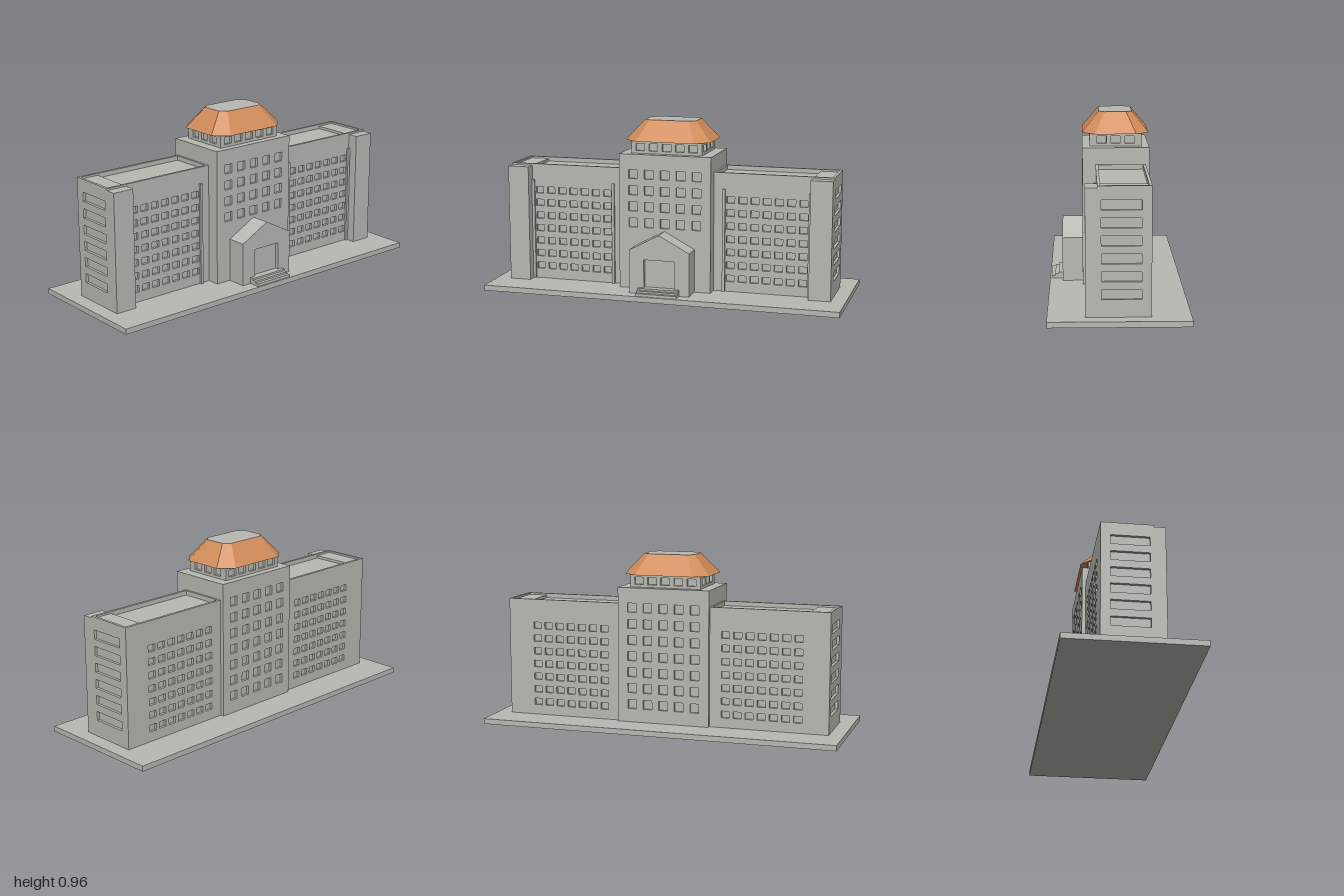
import * as THREE from 'three';

const BASE = 0.03; // height of the ground slab
const T = 0.015;   // depth of the window recesses

export function createModel() {
  const stone = new THREE.MeshStandardMaterial({ color: 0xb8b9b2 });
  stone.name = 'grey stone';
  const tile = new THREE.MeshStandardMaterial({ color: 0xd18c5a, side: THREE.DoubleSide });
  tile.name = 'orange roof tile';

  const model = new THREE.Group();
  model.name = 'building';

  const add = (parent, name, geometry, material = stone) => {
    const mesh = new THREE.Mesh(geometry, material);
    mesh.name = name;
    parent.add(mesh);
    return mesh;
  };

  // box given by its limits on each axis
  const box = (parent, name, [x0, x1], [y0, y1], [z0, z1]) => {
    const mesh = add(parent, name, new THREE.BoxGeometry(Math.abs(x1 - x0), y1 - y0, z1 - z0));
    mesh.position.set((x0 + x1) / 2, (y0 + y1) / 2, (z0 + z1) / 2);
    return mesh;
  };

  const rectHole = (shape, x, y, w, h) => {
    const hole = new THREE.Path();
    hole.moveTo(x - w / 2, y);
    hole.lineTo(x - w / 2, y + h);
    hole.lineTo(x + w / 2, y + h);
    hole.lineTo(x + w / 2, y);
    hole.closePath();
    shape.holes.push(hole);
  };

  const extrude = (shape, depth) => new THREE.ExtrudeGeometry(shape, { depth, bevelEnabled: false });

  // facade with a grid of window openings; its outer face lies on local z = 0
  const facade = (parent, name, width, y0, y1, grid) => {
    const shape = new THREE.Shape();
    shape.moveTo(-width / 2, y0);
    shape.lineTo(width / 2, y0);
    shape.lineTo(width / 2, y1);
    shape.lineTo(-width / 2, y1);
    shape.closePath();
    for (let r = 0; r < grid.rows; r++) {
      for (let c = 0; c < grid.cols; c++) {
        const x = (grid.x || 0) + (c - (grid.cols - 1) / 2) * (grid.dx || 0);
        rectHole(shape, x, grid.y + r * (grid.dy || 0), grid.w, grid.h);
      }
    }
    return add(parent, name, extrude(shape, T).translate(0, 0, -T));
  };

  // ground slab
  box(model, 'groundSlab', [-1, 1], [0, BASE], [-0.36, 0.36]);

  // two side wings
  for (const s of [1, -1]) {
    const wing = new THREE.Group();
    wing.name = s > 0 ? 'leftWing' : 'rightWing';
    model.add(wing);
    const sx = (a, b) => (s > 0 ? [a, b] : [-b, -a]);

    box(wing, 'wingCore', sx(0.26, 0.905), [BASE, 0.665], [-0.145, 0.095]);
    box(wing, 'endRoof', sx(0.8, 0.905), [0.665, 0.68], [-0.145, 0.095]);
    box(wing, 'innerParapet', sx(0.26, 0.272), [0.665, 0.69], [-0.145, 0.095]);

    const grid = { cols: 7, rows: 7, dx: 0.067, dy: 0.073, y: 0.085, w: 0.045, h: 0.037 };
    const front = facade(wing, 'wingFront', 0.66, BASE, 0.69, { ...grid, x: -s * 0.035 });
    front.position.set(s * 0.59, 0, 0.11);
    const back = facade(wing, 'wingBack', 0.66, BASE, 0.69, { ...grid, x: s * 0.04 });
    back.rotation.y = Math.PI;
    back.position.set(s * 0.59, 0, -0.16);

    // end wall with long strip windows
    const end = facade(wing, 'wingEnd', 0.24, BASE, 0.69,
      { cols: 1, rows: 6, x: -s * 0.015, y: 0.12, dy: 0.09, w: 0.2, h: 0.05 });
    end.rotation.y = s * Math.PI / 2;
    end.position.set(s * 0.92, 0, -0.025);

    // corner pier and thin pilasters
    box(wing, 'cornerPier', sx(0.8, 0.92), [BASE, 0.68], [0.11, 0.17]);
    for (const x of [0.31, 0.785]) {
      box(wing, 'pilaster', sx(x, x + 0.015), [BASE, 0.6], [0.11, 0.122]);
    }
  }

  // central tower
  const tower = new THREE.Group();
  tower.name = 'centralTower';
  model.add(tower);
  box(tower, 'towerCore', [-0.26, 0.26], [BASE, 0.78], [-0.165, 0.165]);
  const towerGrid = { cols: 5, dx: 0.09, dy: 0.09, w: 0.05, h: 0.05 };
  facade(tower, 'towerFront', 0.52, BASE, 0.78, { ...towerGrid, rows: 4, y: 0.375 }).position.z = 0.18;
  const towerBack = facade(tower, 'towerBack', 0.52, BASE, 0.78, { ...towerGrid, rows: 7, y: 0.105 });
  towerBack.rotation.y = Math.PI;
  towerBack.position.z = -0.18;

  // lantern storey with windows on all sides
  box(tower, 'lanternCore', [-0.185, 0.185], [0.78, 0.85], [-0.125, 0.125]);
  for (let i = 0; i < 4; i++) {
    const wide = i % 2 === 0;
    const wall = facade(tower, 'lanternWall', wide ? 0.4 : 0.25, 0.78, 0.85,
      { cols: wide ? 5 : 3, rows: 1, dx: 0.075, y: 0.795, w: 0.05, h: 0.04 });
    wall.rotation.y = i * Math.PI / 2;
    wall.position.set([0, 0.2, 0, -0.2][i], 0, [0.14, 0, -0.14, 0][i]);
  }

  // eight-sided roof: a lower and an upper ring
  const ring = (x, z, cx, cz, y) => [
    [cx, z], [x, cz], [x, -cz], [cx, -z], [-cx, -z], [-x, -cz], [-x, cz], [-cx, z],
  ].map(([px, pz]) => [px, y, pz]);
  const low = ring(0.24, 0.18, 0.165, 0.11, 0.85);
  const high = ring(0.145, 0.09, 0.11, 0.058, 0.96);
  const slopes = [], underside = [], cap = [];
  for (let i = 0; i < 8; i++) {
    const j = (i + 1) % 8;
    slopes.push(...low[i], ...low[j], ...high[j], ...low[i], ...high[j], ...high[i]);
    underside.push(0, 0.85, 0, ...low[j], ...low[i]);
    cap.push(0, 0.96, 0, ...high[i], ...high[j]);
  }
  const faces = (points) => {
    const geometry = new THREE.BufferGeometry();
    geometry.setAttribute('position', new THREE.Float32BufferAttribute(points, 3));
    geometry.computeVertexNormals();
    return geometry;
  };
  add(tower, 'roofSlopes', faces(slopes), tile);
  add(tower, 'roofUnderside', faces(underside), tile);
  add(tower, 'roofTop', faces(cap));

  // gabled entrance porch with a recessed doorway
  const porch = new THREE.Group();
  porch.name = 'entrancePorch';
  model.add(porch);
  const gable = () => {
    const shape = new THREE.Shape();
    shape.moveTo(-0.17, BASE);
    shape.lineTo(0.17, BASE);
    shape.lineTo(0.17, 0.27);
    shape.lineTo(0, 0.36);
    shape.lineTo(-0.17, 0.27);
    shape.closePath();
    return shape;
  };
  add(porch, 'porchBody', extrude(gable(), 0.09)).position.z = 0.18;
  const porchFront = gable();
  rectHole(porchFront, 0, 0.065, 0.17, 0.155);
  add(porch, 'porchFront', extrude(porchFront, 0.02)).position.z = 0.27;

  // entrance steps
  for (let i = 0; i < 3; i++) {
    box(porch, 'step', [-0.115, 0.115], [i ? 0.035 + i * 0.01 : BASE, 0.045 + i * 0.01], [0.29, 0.352 - i * 0.02]);
  }

  return model;
}
